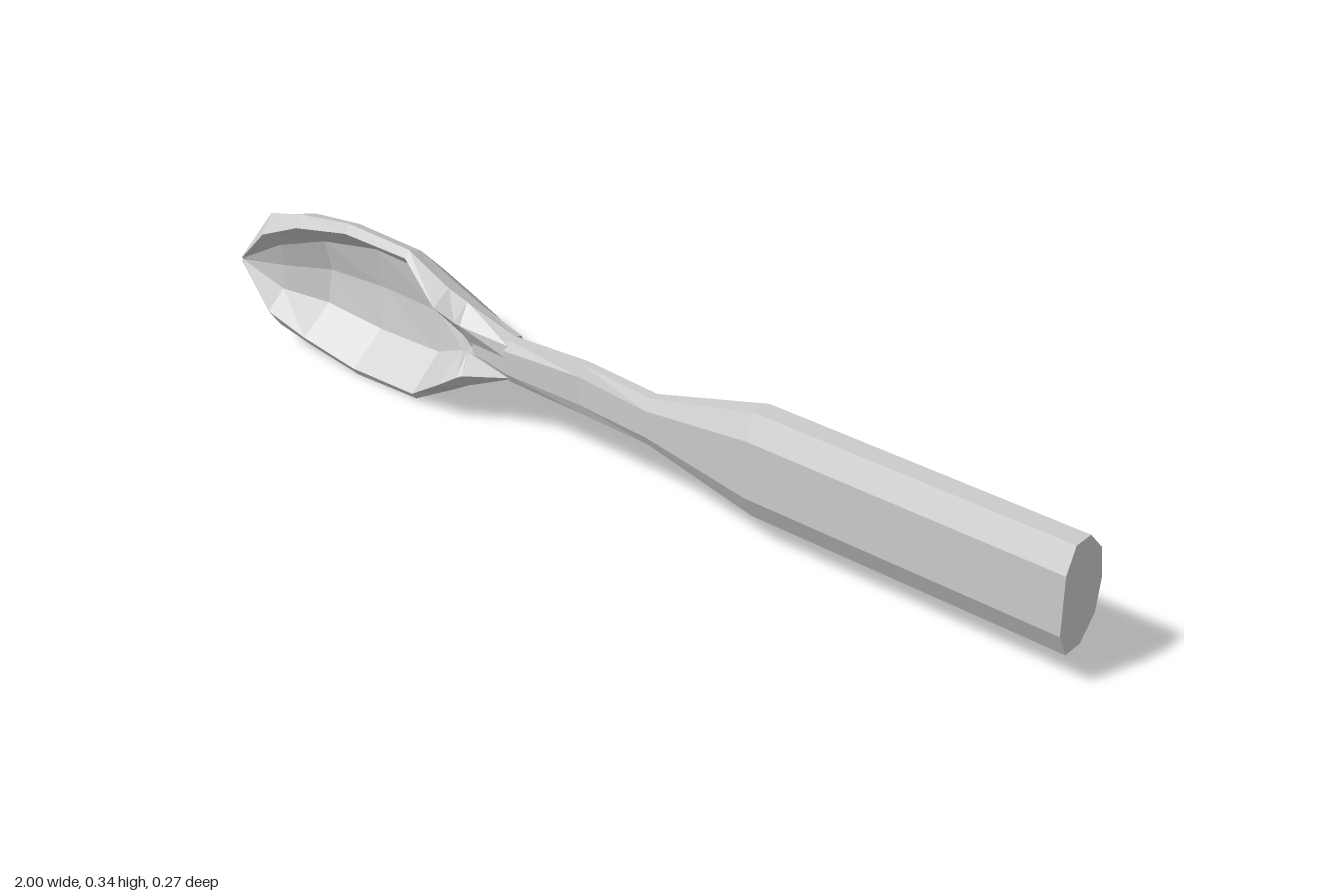
import * as THREE from 'three';

const MID = 0.17; // height of the spoon's long axis

// Joins equal-length rings of points, running from -x to +x, into a closed faceted solid.
function loft(name, rings) {
  const pos = [];
  const tri = (...pts) => pts.forEach((p) => pos.push(...p));
  const n = rings[0].length;
  for (let i = 0; i < rings.length - 1; i++) {
    for (let j = 0; j < n; j++) {
      const k = (j + 1) % n;
      const a = rings[i][j], b = rings[i][k], c = rings[i + 1][k], d = rings[i + 1][j];
      tri(a, b, c);
      tri(a, c, d);
    }
  }
  const first = rings[0], last = rings[rings.length - 1];
  for (let j = 1; j < n - 1; j++) {
    tri(first[0], first[j + 1], first[j]);
    tri(last[0], last[j], last[j + 1]);
  }
  const geometry = new THREE.BufferGeometry();
  geometry.setAttribute('position', new THREE.Float32BufferAttribute(pos, 3));
  geometry.computeVertexNormals();
  const mesh = new THREE.Mesh(geometry, new THREE.MeshStandardMaterial({ color: 0xcccccc, flatShading: true }));
  mesh.name = name;
  return mesh;
}

// Mirrors the upper half of a section, given as [height, z] from back to front.
function section(x, half) {
  const upper = half.map(([h, z]) => [x, MID + h, z]);
  const lower = half.slice(1, -1).reverse().map(([h, z]) => [x, MID - h, z]);
  return [...upper, ...lower];
}

// Bowl sections: keel, lower side, upper side, outer rim, inner rim, inner floor, floor centre
function createBowl() {
  const stations = [
    [-1.0, [[0, 0.092], [0.003, 0.094], [0.005, 0.1], [0.005, 0.12], [0.003, 0.12], [0.002, 0.118], [0, 0.117]]],
    [-0.91, [[0, 0.03], [0.06, 0.04], [0.115, 0.08], [0.128, 0.105], [0.088, 0.133], [0.05, 0.09], [0, 0.08]]],
    [-0.82, [[0, -0.012], [0.075, 0.01], [0.14, 0.065], [0.149, 0.1], [0.125, 0.118], [0.07, 0.045], [0, 0.03]]],
    [-0.68, [[0, -0.135], [0.088, 0.005], [0.16, 0.07], [0.17, 0.098], [0.152, 0.11], [0.09, 0.03], [0, 0.015]]],
    [-0.51, [[0, -0.078], [0.085, 0.0], [0.152, 0.065], [0.165, 0.097], [0.15, 0.108], [0.085, 0.03], [0, 0.02]]],
    [-0.41, [[0, -0.042], [0.055, 0.01], [0.1, 0.055], [0.112, 0.09], [0.085, 0.133], [0.035, 0.06], [0, 0.05]]],
    [-0.37, [[0, -0.025], [0.045, 0.02], [0.08, 0.05], [0.091, 0.08], [0.06, 0.118], [0.015, 0.085], [0, 0.08]]],
    [-0.36, [[0, 0.015], [0.042, 0.025], [0.076, 0.05], [0.087, 0.08], [0.055, 0.113], [0.012, 0.09], [0, 0.085]]],
    [-0.26, [[0, 0.035], [0.025, 0.038], [0.042, 0.045], [0.045, 0.06], [0.035, 0.085], [0.01, 0.09], [0, 0.09]]],
  ];
  return loft('bowl', stations.map(([x, half]) => section(x, half)));
}

// Handle and neck: one faceted oval, scaled at each station [x, half height, back z, front z]
function createHandle() {
  const oval = [[0, 0], [0.6, 0.09], [1, 0.43], [1, 0.8], [0.55, 1], [0, 1]];
  const stations = [
    [-0.35, 0.015, 0.06, 0.09],
    [-0.26, 0.045, 0.035, 0.09],
    [-0.08, 0.054, 0.035, 0.08],
    [0.1, 0.05, 0.035, 0.094],
    [0.34, 0.106, -0.016, 0.102],
    [1.0, 0.106, -0.016, 0.102],
  ];
  return loft('handle', stations.map(([x, h, back, front]) =>
    section(x, oval.map(([u, v]) => [u * h, back + v * (front - back)]))));
}

export function createModel() {
  const group = new THREE.Group();
  group.name = 'spoon';
  group.add(createBowl(), createHandle());
  return group;
}
